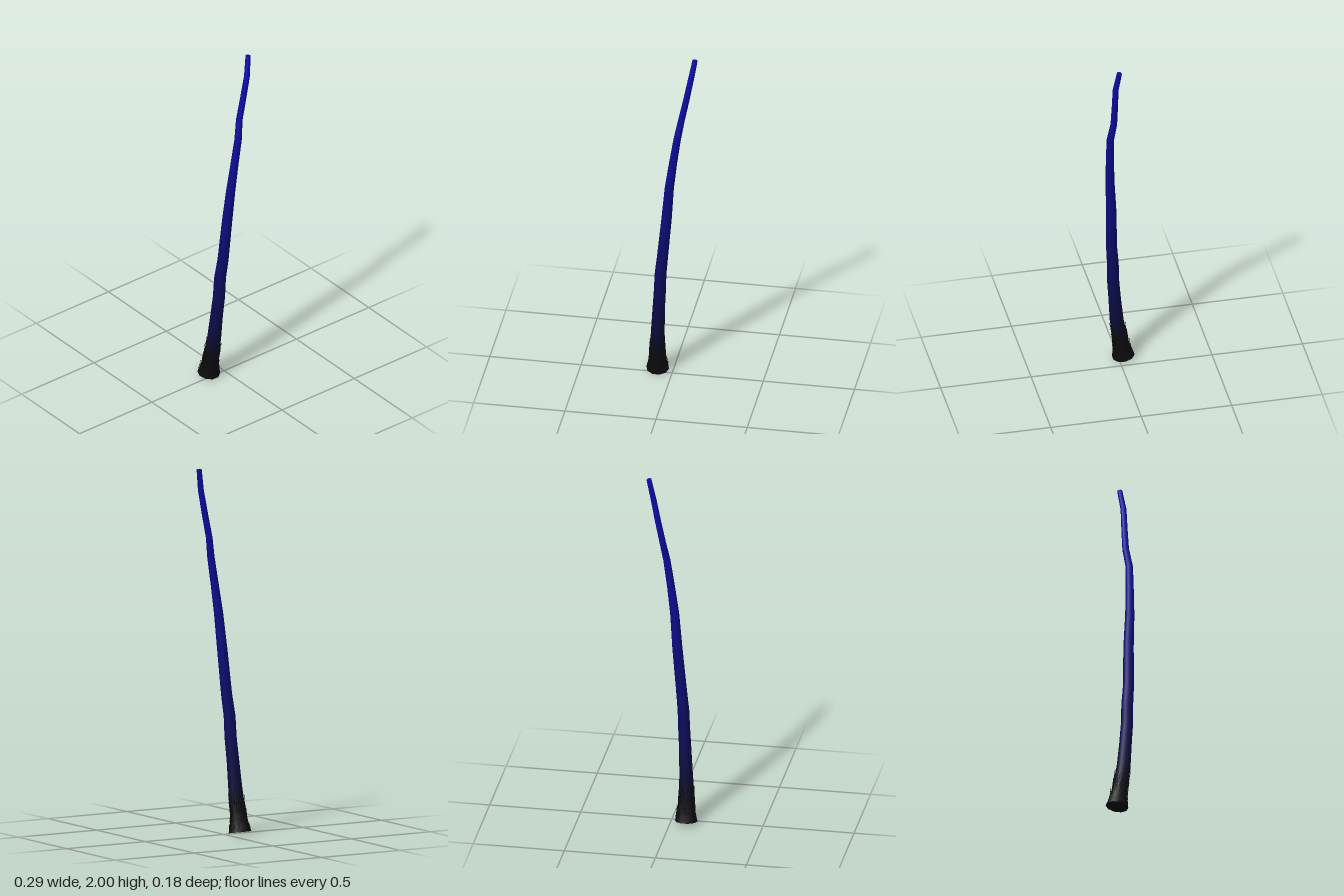
import * as THREE from 'three';

// Centre line stations: x, y, z, radius
const STATIONS = [
  [-0.084, 0.011, -0.028, 0.062],
  [-0.083, 0.06, -0.02, 0.051],
  [-0.081, 0.13, -0.009, 0.042],
  [-0.077, 0.25, 0.01, 0.038],
  [-0.07, 0.4, 0.023, 0.034],
  [-0.062, 0.52, 0.033, 0.033],
  [-0.057, 0.64, 0.036, 0.032],
  [-0.044, 0.76, 0.046, 0.03],
  [-0.021, 1.0, 0.052, 0.028],
  [-0.004, 1.2, 0.063, 0.025],
  [0.016, 1.35, 0.068, 0.022],
  [0.04, 1.51, 0.071, 0.02],
  [0.06, 1.62, 0.056, 0.018],
  [0.085, 1.74, 0.056, 0.017],
  [0.112, 1.88, 0.057, 0.016],
  [0.133, 1.998, 0.041, 0.014],
];
const SIDES = 10;
const STEPS = 3; // colour bands between stations

function colorAt(y) {
  const t = THREE.MathUtils.clamp((y - 0.1) / 1.9, 0, 1);
  return new THREE.Color(0x0b0b0b).lerp(new THREE.Color(0x0b0bb0), t);
}

const material = (color) => new THREE.MeshStandardMaterial({ color });

// Centre, radius and cross axes at parameter u (in stations)
function frameAt(u) {
  const last = STATIONS.length - 1;
  const i = Math.min(Math.floor(u), last - 1);
  const [x, y, z, r] = STATIONS[i].map((v, k) => THREE.MathUtils.lerp(v, STATIONS[i + 1][k], u - i));
  const near = Math.round(u);
  const a = STATIONS[Math.max(near - 1, 0)], b = STATIONS[Math.min(near + 1, last)];
  const tangent = new THREE.Vector3(b[0] - a[0], b[1] - a[1], b[2] - a[2]).normalize();
  const side = new THREE.Vector3().crossVectors(tangent, new THREE.Vector3(0, 0, 1)).normalize();
  const front = new THREE.Vector3().crossVectors(side, tangent);
  return { centre: new THREE.Vector3(x, y, z), r, side, front, tangent };
}

function surfacePoint(u, angle, scale = 1) {
  const f = frameAt(u);
  return f.centre.clone()
    .addScaledVector(f.side, Math.cos(angle) * f.r * scale)
    .addScaledVector(f.front, Math.sin(angle) * f.r * scale);
}

// Bent tapering stalk, cut into bands that share one set of smooth normals
function makeStalk() {
  const stalk = new THREE.Group();
  stalk.name = 'stalk';
  const rings = (STATIONS.length - 1) * STEPS;
  const points = [];
  for (let k = 0; k <= rings; k++) {
    // rings between stations are straight blends, so the kinks stay
    const u = k / STEPS, lo = Math.floor(u), hi = Math.ceil(u);
    for (let s = 0; s < SIDES; s++) {
      const angle = (s / SIDES) * Math.PI * 2;
      points.push(surfacePoint(lo, angle).lerp(surfacePoint(hi, angle), u - lo));
    }
  }
  const bands = [];
  for (let k = 0; k < rings; k++) {
    const band = [];
    for (let s = 0; s < SIDES; s++) {
      const n = (s + 1) % SIDES;
      const a = k * SIDES + s, b = k * SIDES + n, c = a + SIDES, d = b + SIDES;
      band.push(a, c, b, b, c, d);
    }
    bands.push(band);
  }
  const whole = new THREE.BufferGeometry().setFromPoints(points);
  whole.setIndex(bands.flat());
  whole.computeVertexNormals();
  bands.forEach((band, k) => {
    const part = new THREE.BufferGeometry();
    const vertices = band.map((v) => v - k * SIDES);
    for (const key of ['position', 'normal']) {
      const slice = whole.attributes[key].array.slice(k * SIDES * 3, (k + 2) * SIDES * 3);
      part.setAttribute(key, new THREE.BufferAttribute(slice, 3));
    }
    part.setIndex(vertices);
    const mesh = new THREE.Mesh(part, material(colorAt(points[k * SIDES].y)));
    mesh.name = 'stalkBand';
    stalk.add(mesh);
  });
  return stalk;
}

// Flat end cap
function makeCap(u, direction, name) {
  const f = frameAt(u);
  const cap = new THREE.Mesh(new THREE.CircleGeometry(f.r, SIDES), material(colorAt(f.centre.y)));
  const z = f.tangent.clone().multiplyScalar(direction);
  const y = new THREE.Vector3().crossVectors(z, f.side);
  cap.quaternion.setFromRotationMatrix(new THREE.Matrix4().makeBasis(f.side, y, z));
  cap.position.copy(f.centre);
  cap.name = name;
  return cap;
}

// Thin fibres clinging to the foot
function makeFibres() {
  const fibres = new THREE.Group();
  fibres.name = 'footFibres';
  let seed = 7;
  const rand = () => (seed = (seed * 16807) % 2147483647) / 2147483647;
  const dark = material(0x0b0b0b);
  for (let i = 0; i < 70; i++) {
    const angle = i * 2.4;
    const start = 0.1 + rand() * 2.2;
    const end = Math.min(start + 0.4 + rand() * 0.5, 3.1);
    const curve = new THREE.LineCurve3(
      surfacePoint(start, angle, 0.97),
      surfacePoint(end, angle + (rand() - 0.5) * 0.4, 1.03 + rand() * 0.1),
    );
    const fibre = new THREE.Mesh(new THREE.TubeGeometry(curve, 1, 0.0013, 3), dark);
    fibre.name = 'fibre';
    fibres.add(fibre);
  }
  return fibres;
}

export function createModel() {
  const model = new THREE.Group();
  model.name = 'bentStalk';
  model.add(
    makeStalk(),
    makeCap(0, -1, 'footCap'),
    makeCap(STATIONS.length - 1, 1, 'tipCap'),
    makeFibres(),
  );
  return model;
}
